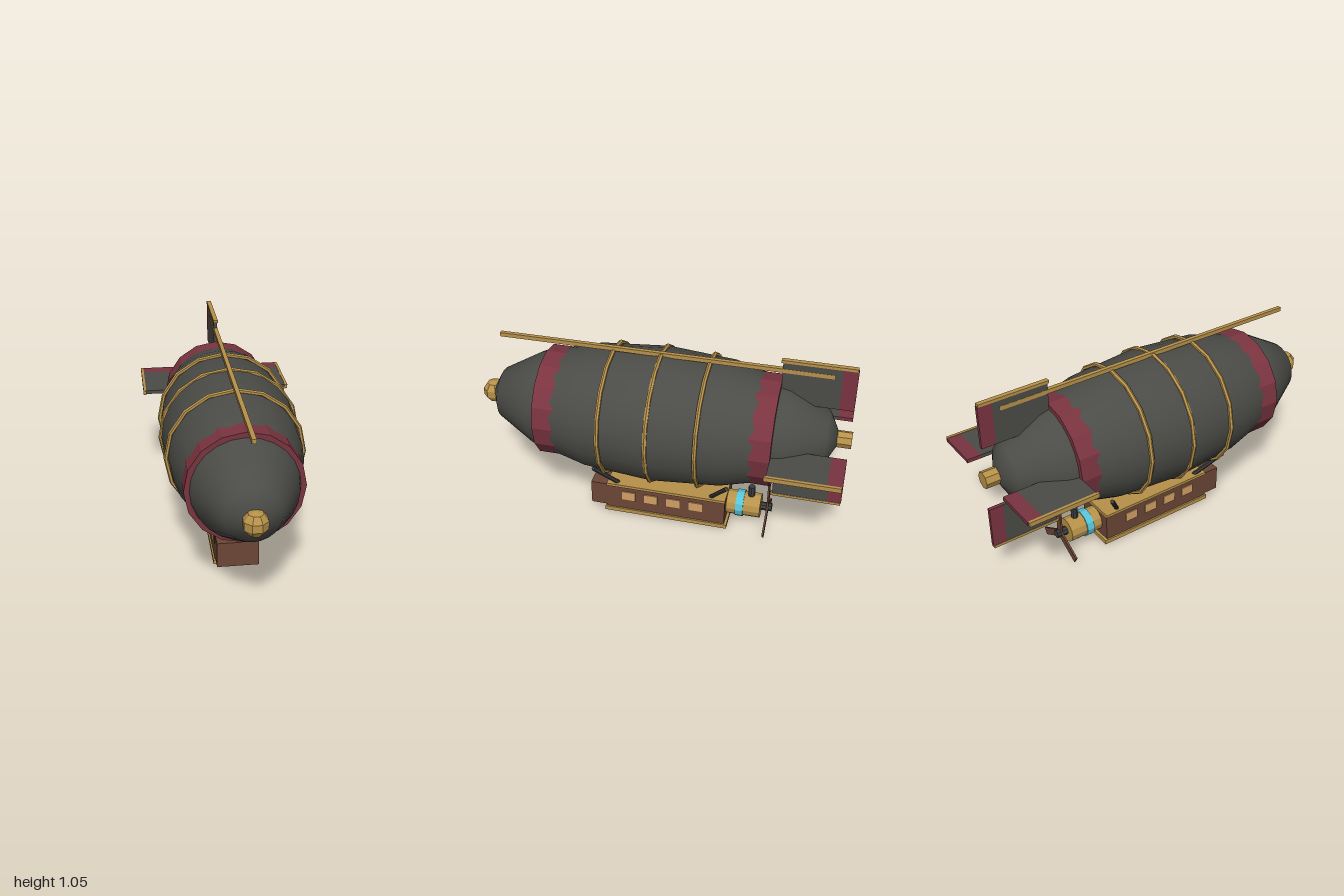
import * as THREE from 'three';

const mat = (name, color, flat = true) => {
  const m = new THREE.MeshStandardMaterial({ color, flatShading: flat });
  m.name = name;
  return m;
};

export function createModel() {
  const canvas = mat('charcoal canvas', 0x4b4c47, false);
  const gold = mat('brass', 0xb8924a);
  const maroon = mat('maroon', 0x7a3440);
  const wood = mat('brown wood', 0x6b4636);
  const iron = mat('dark iron', 0x3b3d3f);
  const glow = mat('amber window', 0xd2a066);
  const cyan = mat('cyan coil', 0x58c4d8);

  const model = new THREE.Group();
  model.name = 'airship';
  const AXIS = 0.63; // height of the envelope's long axis

  const add = (name, geo, material, x = 0, y = 0, z = 0, parent = model) => {
    const mesh = new THREE.Mesh(geo, material);
    mesh.name = name;
    mesh.position.set(x, y, z);
    parent.add(mesh);
    return mesh;
  };
  const box = (w, h, d) => new THREE.BoxGeometry(w, h, d);
  // cylinder lying along z
  const drum = (r, len, sides) => new THREE.CylinderGeometry(r, r, len, sides).rotateX(Math.PI / 2);

  // Envelope: stretched sphere with its poles at nose and tail
  const hull = new THREE.SphereGeometry(1, 24, 8).rotateX(Math.PI / 2).scale(0.36, 0.36, 0.948);
  add('envelope', hull, canvas, 0, AXIS, 0);

  // Maroon collars and brass hoops
  for (const s of [1, -1]) add('collar', drum(0.295, 0.14, 16), maroon, 0, AXIS, s * 0.551);
  for (const [z, r] of [[0.253, 0.352], [0, 0.363], [-0.253, 0.352]]) {
    const hoop = new THREE.TorusGeometry(r, 0.012, 6, 16).rotateZ(Math.PI / 2);
    add('hoop', hoop, gold, 0, AXIS, z);
  }

  // Ridge beam, nose knob and tail cap
  add('ridgeBeam', box(0.022, 0.022, 1.746), gold, 0, 0.995, -0.003);
  add('noseKnob', new THREE.SphereGeometry(0.064, 8, 5).rotateY(Math.PI / 8), gold, 0, AXIS, 0.941);
  add('tailCap', drum(0.045, 0.12, 8), gold, 0, AXIS, -0.94);

  // Four tail fins around the axis
  for (let i = 0; i < 4; i++) {
    const fin = new THREE.Group();
    fin.name = 'tailFin';
    fin.position.y = AXIS;
    fin.rotation.z = (i * Math.PI) / 2;
    add('finPanel', box(0.02, 0.23, 0.295), canvas, 0, 0.297, -0.767, fin);
    add('finRudder', box(0.02, 0.23, 0.075), maroon, 0, 0.297, -0.952, fin);
    add('finTrim', box(0.025, 0.015, 0.375), gold, 0, 0.418, -0.798, fin);
    model.add(fin);
  }

  // Gondola
  add('cabin', box(0.224, 0.15, 0.665), wood, 0, 0.107, -0.048);
  add('prow', box(0.22, 0.142, 0.1), wood, 0, 0.111, 0.325);
  add('cabinRoof', box(0.24, 0.016, 0.665), gold, 0, 0.188, -0.05);
  add('cabinFloor', box(0.24, 0.024, 0.69), gold, 0, 0.019, -0.05);
  for (const s of [1, -1]) {
    for (let i = 0; i < 4; i++) {
      add('window', box(0.008, 0.054, 0.075), glow, s * 0.114, 0.123, 0.158 - i * 0.126);
    }
  }

  // Struts from the roof to the envelope
  const strut = (a, b) => {
    const dir = b.clone().sub(a);
    const mesh = add('strut', new THREE.CylinderGeometry(0.012, 0.012, dir.length(), 6), iron);
    mesh.position.copy(a).addScaledVector(dir, 0.5);
    mesh.quaternion.setFromUnitVectors(new THREE.Vector3(0, 1, 0), dir.normalize());
  };
  for (const s of [1, -1]) {
    strut(new THREE.Vector3(s * 0.085, 0.185, 0.22), new THREE.Vector3(s * 0.205, 0.355, 0.325));
    strut(new THREE.Vector3(s * 0.085, 0.185, -0.295), new THREE.Vector3(s * 0.205, 0.355, -0.4));
  }

  // Engine with coil, exhaust and hub
  add('engine', drum(0.068, 0.19, 12), gold, 0, 0.11, -0.47);
  add('engineCoil', drum(0.075, 0.042, 12), cyan, 0, 0.11, -0.452);
  add('exhaust', new THREE.CylinderGeometry(0.019, 0.019, 0.08, 8), iron, 0, 0.195, -0.509);
  add('propellerHub', drum(0.023, 0.07, 8), iron, 0, 0.11, -0.59);

  // Three-bladed propeller
  const propeller = new THREE.Group();
  propeller.name = 'propeller';
  propeller.position.set(0, 0.11, -0.602);
  for (let i = 0; i < 3; i++) {
    const blade = add('blade', box(0.04, 0.165, 0.01).translate(0, 0.0905, 0), wood, 0, 0, 0, propeller);
    blade.rotation.z = (i * 2 * Math.PI) / 3;
  }
  model.add(propeller);

  return model;
}
